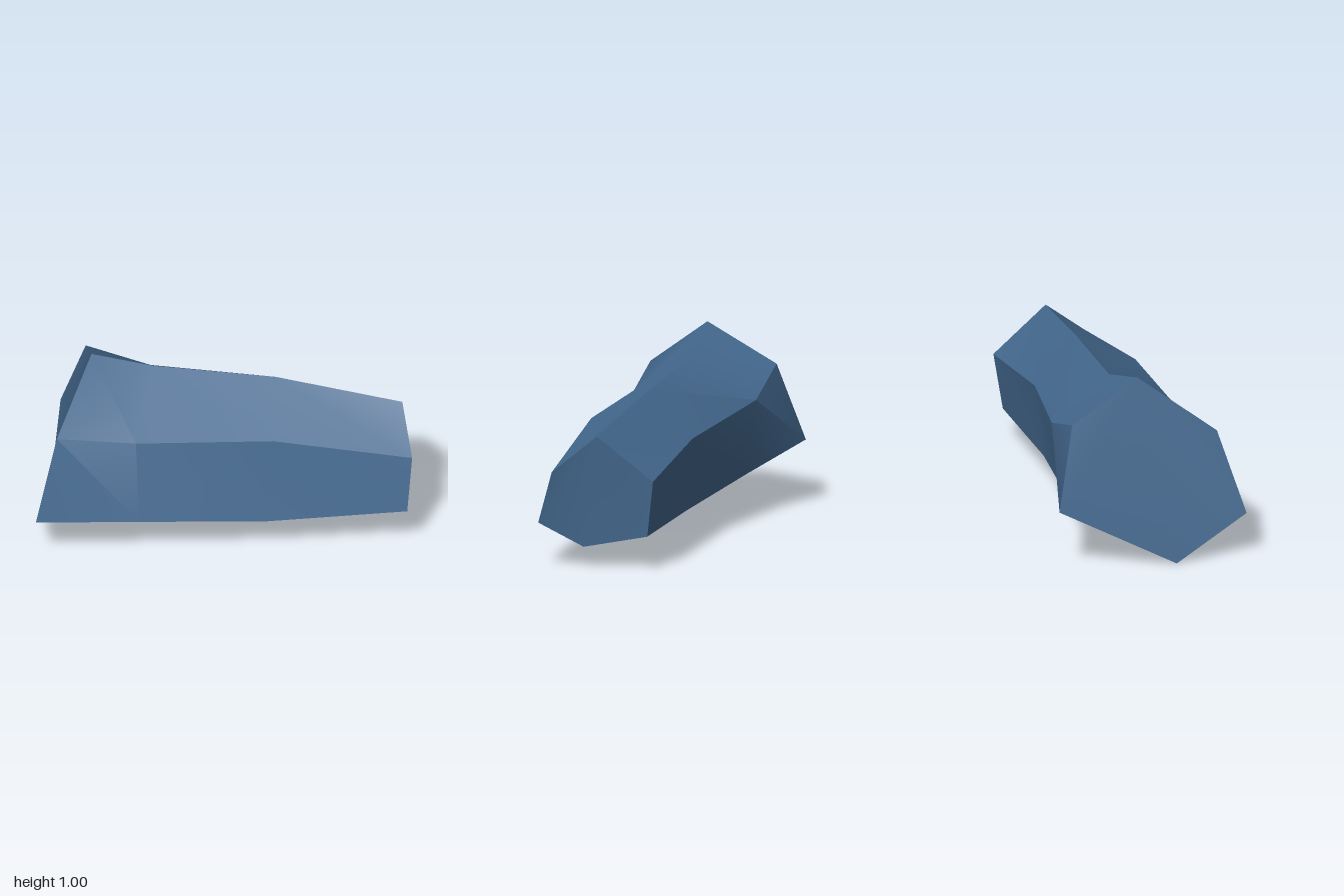
import * as THREE from 'three';
import { toCreasedNormals } from 'three/addons/utils/BufferGeometryUtils.js';

// Irregular six-sided cross-sections from the wide end to the narrow end.
// Corners: top, upper front, lower front, bottom, lower back, upper back.
const rings = [
  [[-0.71, 1, -0.01], [-0.89, 0.715, 0.375], [-1, 0.262, 0.505], [-0.95, 0, 0.13], [-0.88, 0.355, -0.505], [-0.745, 0.79, -0.388]],
  [[-0.38, 0.89, -0.06], [-0.47, 0.65, 0.32], [-0.45, 0.24, 0.46], [-0.45, 0.07, 0.09], [-0.455, 0.245, -0.32], [-0.41, 0.665, -0.39]],
  [[0.27, 0.845, -0.03], [0.26, 0.66, 0.303], [0.22, 0.213, 0.41], [0.22, 0.08, 0.1], [0.22, 0.19, -0.225], [0.25, 0.59, -0.265]],
  [[0.945, 0.73, 0.03], [1, 0.53, 0.265], [0.975, 0.243, 0.35], [0.9, 0.112, 0.12], [0.88, 0.19, -0.232], [0.91, 0.5, -0.275]],
];

export function createModel() {
  const sides = 6;
  const last = (rings.length - 1) * sides;
  const index = [];

  // Long faceted sides
  for (let i = 0; i < rings.length - 1; i++) {
    for (let j = 0; j < sides; j++) {
      const k = (j + 1) % sides;
      const a = i * sides + j, b = i * sides + k;
      const c = b + sides, d = a + sides;
      index.push(a, b, c, a, c, d);
    }
  }
  // Flat end faces
  for (let j = 1; j < sides - 1; j++) {
    index.push(0, j + 1, j);
    index.push(last, last + j, last + j + 1);
  }

  const base = new THREE.BufferGeometry();
  base.setAttribute('position', new THREE.Float32BufferAttribute(rings.flat(2), 3));
  base.setIndex(index);
  const geometry = toCreasedNormals(base, THREE.MathUtils.degToRad(30));

  const blue = new THREE.MeshStandardMaterial({ color: 0x44698f });
  blue.name = 'slate blue';

  const crystal = new THREE.Mesh(geometry, blue);
  crystal.name = 'crystalShard';

  const group = new THREE.Group();
  group.name = 'crystal';
  group.add(crystal);
  return group;
}
